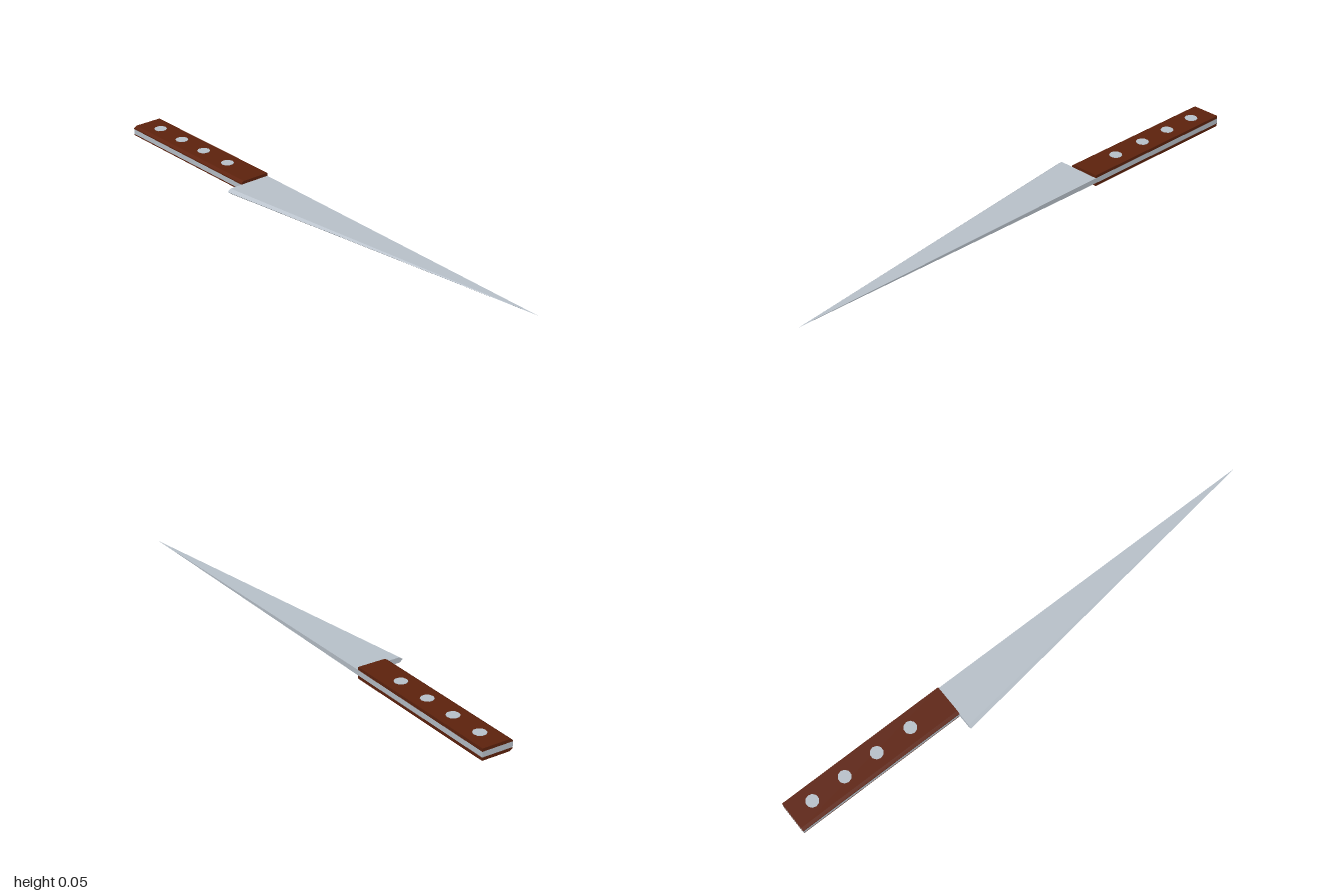
import * as THREE from 'three';

const MID = 0.023;      // height of the blade's centre plane
const BUTT = -1, HEEL = -0.34, TIP = 1;
const SPINE = -0.091;   // z of the straight back edge

export function createModel() {
  const knife = new THREE.Group();
  knife.name = 'knife';
  const steel = new THREE.MeshStandardMaterial({ color: 0xb9c2cb });
  steel.name = 'steel';
  const wood = new THREE.MeshStandardMaterial({ color: 0x5e220d });
  wood.name = 'dark wood';

  const add = (name, geometry, material) => {
    const mesh = new THREE.Mesh(geometry, material);
    mesh.name = name;
    knife.add(mesh);
    return mesh;
  };

  // Blade: heel cross-section [y, z] drawn out to a single point
  const section = [[0.01, SPINE], [0.01, 0.078], [0, 0.091], [-0.01, 0.078], [-0.01, SPINE]];
  const tip = [TIP, MID, SPINE];
  const heel = section.map(([y, z]) => [HEEL, MID + y, z]);
  const points = [];
  heel.forEach((p, i) => {
    const q = heel[(i + 1) % heel.length];
    points.push(...p, ...q, ...tip);
    if (i > 0 && i < heel.length - 1) points.push(...heel[0], ...q, ...p);
  });
  const bladeGeometry = new THREE.BufferGeometry();
  bladeGeometry.setAttribute('position', new THREE.Float32BufferAttribute(points, 3));
  bladeGeometry.computeVertexNormals();
  add('blade', bladeGeometry, steel);

  // Tang: flat steel core between the handle slabs
  const length = HEEL - BUTT, front = 0.028;
  const tang = add('tang', new THREE.BoxGeometry(length, 0.02, front - SPINE), steel);
  tang.position.set((BUTT + HEEL) / 2, MID, (front + SPINE) / 2);

  // Wooden slabs, bevelled along the front outer edge; shape axes are (-z, y)
  for (const side of [1, -1]) {
    const profile = new THREE.Shape([
      [-front, 0.01], [-front, 0.0145], [-0.017, 0.0215], [-SPINE, 0.0215], [-SPINE, 0.01],
    ].map(([u, v]) => new THREE.Vector2(u, v * side)));
    const slab = new THREE.ExtrudeGeometry(profile, { depth: length, bevelEnabled: false });
    slab.rotateY(Math.PI / 2);
    slab.translate(BUTT, MID, 0);
    add(side > 0 ? 'upperHandleSlab' : 'lowerHandleSlab', slab, wood);
  }

  // Rivets running through the handle, just proud of both faces
  for (const x of [-0.915, -0.78, -0.645, -0.502]) {
    const rivet = add('rivet', new THREE.CylinderGeometry(0.024, 0.024, MID * 2, 10), steel);
    rivet.position.set(x, MID, -0.035);
  }
  return knife;
}
